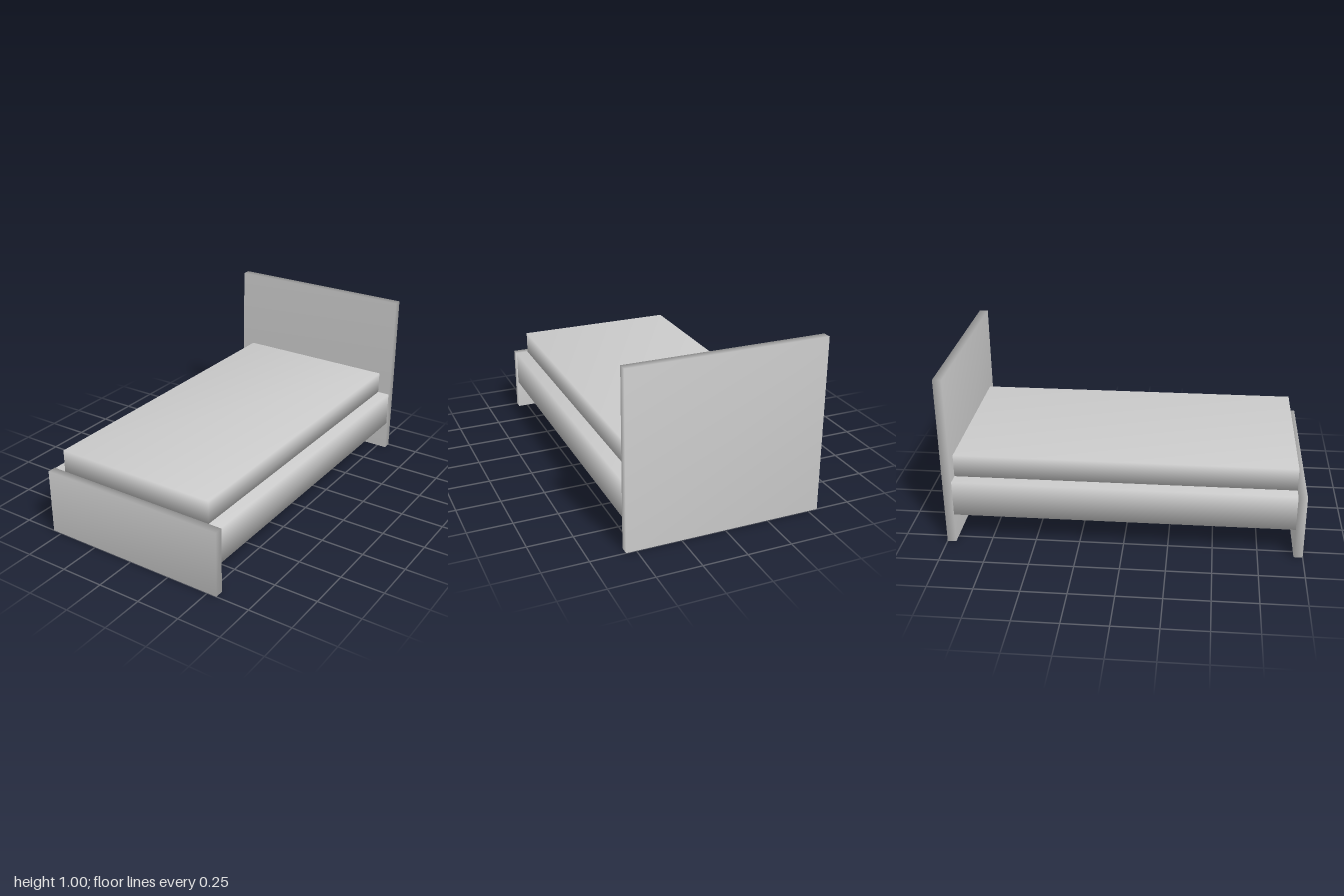
import * as THREE from 'three';
import { mergeVertices } from 'three/addons/utils/BufferGeometryUtils.js';

const material = new THREE.MeshStandardMaterial({ color: 0xcccccc });

// Box given by its width and its y and z ranges, with shared corners for soft shading.
function softBox(name, width, [y0, y1], [z0, z1]) {
  const box = new THREE.BoxGeometry(width, y1 - y0, z1 - z0);
  box.deleteAttribute('normal');
  box.deleteAttribute('uv');
  const geometry = mergeVertices(box);
  geometry.computeVertexNormals();
  geometry.translate(0, (y0 + y1) / 2, (z0 + z1) / 2);
  const mesh = new THREE.Mesh(geometry, material);
  mesh.name = name;
  return mesh;
}

export function createModel() {
  const bed = new THREE.Group();
  bed.name = 'bed';
  bed.add(
    // Upright end panels reaching the floor
    softBox('headboard', 1.112, [0, 0.995], [-1, -0.95]),
    softBox('footboard', 1.112, [0, 0.38], [0.95, 1]),
    // Raised base between the panels, and the mattress on it
    softBox('bedFrame', 1.104, [0.175, 0.38], [-0.95, 0.95]),
    softBox('mattress', 0.958, [0.38, 0.51], [-0.95, 0.95])
  );
  return bed;
}
